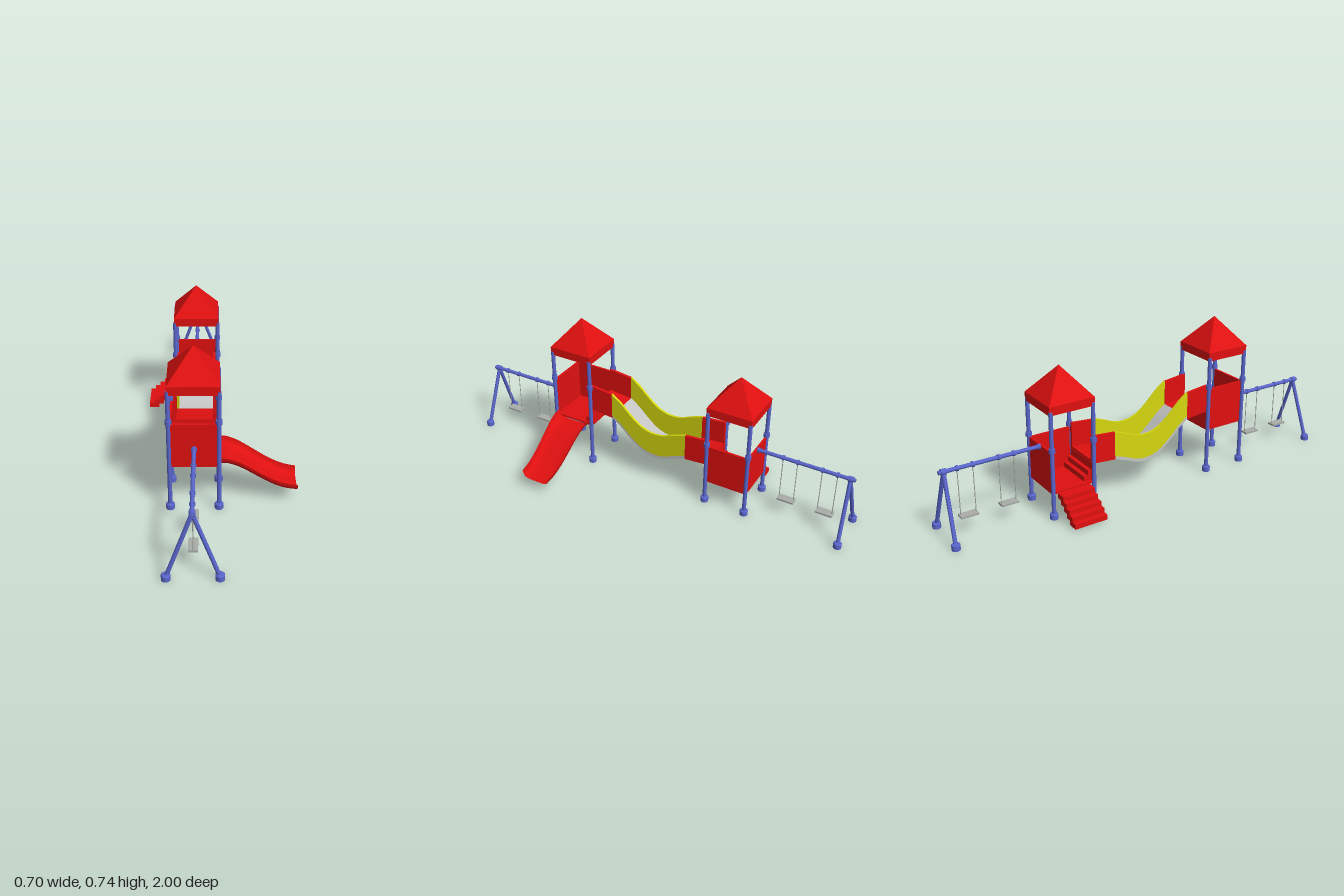
import * as THREE from 'three';

const mat = (name, color, side = THREE.FrontSide) => {
  const m = new THREE.MeshStandardMaterial({ color, side });
  m.name = name;
  return m;
};

export function createModel() {
  const red = mat('red panels', 0xe01010, THREE.DoubleSide);
  const blue = mat('blue steel', 0x5a66cc);
  const yellow = mat('yellow sides', 0xd6d810);
  const grey = mat('light grey deck', 0xc4c4c4);
  const seatGrey = mat('swing grey', 0xa9ada7);

  const model = new THREE.Group();
  model.name = 'playground';
  const CX = -0.1, R = 0.106, TZ = 0.421;

  const add = (parent, name, geo, material, x = 0, y = 0, z = 0) => {
    const m = new THREE.Mesh(geo, material);
    m.name = name;
    m.position.set(x, y, z);
    parent.add(m);
    return m;
  };
  // box given by its min and max corners
  const box = (parent, name, material, x0, x1, y0, y1, z0, z1) =>
    add(parent, name, new THREE.BoxGeometry(x1 - x0, y1 - y0, Math.abs(z1 - z0)), material,
      (x0 + x1) / 2, (y0 + y1) / 2, (z0 + z1) / 2);
  // round bar between two points
  const bar = (parent, name, material, a, b, r, sides = 14) => {
    const p = new THREE.Vector3(...a), q = new THREE.Vector3(...b);
    const d = q.clone().sub(p);
    const m = add(parent, name, new THREE.CylinderGeometry(r, r, d.length(), sides), material);
    m.position.copy(p).add(q).multiplyScalar(0.5);
    m.quaternion.setFromUnitVectors(new THREE.Vector3(0, 1, 0), d.normalize());
    return m;
  };
  const foot = (parent, x, z) => {
    add(parent, 'foot', new THREE.CylinderGeometry(0.019, 0.019, 0.023, 16), blue, x, 0.0115, z);
    add(parent, 'footBevel', new THREE.CylinderGeometry(0.015, 0.019, 0.005, 16), blue, x, 0.0255, z);
  };
  // side profile of [z, y] points, extruded across x
  const profile = (parent, name, material, points, x0, x1) => {
    const shape = new THREE.Shape(points.map(([z, y]) => new THREE.Vector2(z, y)));
    const geo = new THREE.ExtrudeGeometry(shape, { depth: x1 - x0, bevelEnabled: false });
    geo.rotateY(-Math.PI / 2);
    return add(parent, name, geo, material, x1);
  };

  // hollow hipped roof with a thick square rim
  function roof(parent, y, z) {
    const h = 0.111, i = 0.097;
    const square = (s) => [[-s, -s], [s, -s], [s, s], [-s, s]].map(([a, b]) => new THREE.Vector2(a, b));
    const rim = new THREE.Shape(square(h));
    rim.holes.push(new THREE.Path(square(i)));
    const geo = new THREE.ExtrudeGeometry(rim, { depth: 0.04, bevelEnabled: false }).rotateX(-Math.PI / 2);
    add(parent, 'roofRim', geo, red, CX, y, z);
    const cone = new THREE.ConeGeometry(h * Math.SQRT2, 0.135, 4, 1, true).rotateY(Math.PI / 4).toNonIndexed();
    cone.computeVertexNormals();
    add(parent, 'roof', cone, red, CX, y + 0.04 + 0.0675, z);
  }

  // tower: s = which end in z, open = side of the entrance in x
  function tower(name, s, open, floorY, wallTop, roofY) {
    const g = new THREE.Group();
    g.name = name;
    model.add(g);
    const z = s * TZ;
    for (const sx of [-1, 1]) for (const sz of [-1, 1]) {
      const px = CX + sx * R, pz = z + sz * 0.103;
      add(g, 'post', new THREE.CylinderGeometry(0.0095, 0.0095, roofY + 0.016, 16), blue, px, (roofY + 0.016) / 2, pz);
      add(g, 'collar', new THREE.CylinderGeometry(0.0145, 0.0145, 0.02, 16), blue, px, wallTop + 0.011, pz);
      foot(g, px, pz);
    }
    box(g, 'floor', red, CX - 0.103, CX + 0.103, floorY, floorY + 0.01, z - 0.1, z + 0.1);
    box(g, 'endWall', red, CX - 0.098, CX + 0.098, floorY, wallTop, z + s * 0.096, z + s * 0.106);
    const wx = CX - open * 0.1;
    box(g, 'sideWall', red, wx - 0.005, wx + 0.005, floorY, wallTop, z - 0.096, z + 0.096);
    // riser and inner steps up to the bridge
    const inner = z - s * 0.103;
    box(g, 'riser', red, CX - 0.096, CX + 0.096, floorY, floorY + 0.095, inner - 0.004, inner + 0.004);
    for (const [run, top] of [[0.042, 0.035], [0.022, 0.06]])
      box(g, 'innerStep', red, CX - 0.09, CX + 0.09, floorY + 0.005, floorY + top, inner, inner + s * run);
    roof(g, roofY, z);
  }
  tower('tallTower', 1, 1, 0.215, 0.425, 0.565);
  tower('lowTower', -1, -1, 0.115, 0.315, 0.487);

  // entrance stairs
  const stairs = new THREE.Group();
  stairs.name = 'stairs';
  model.add(stairs);
  for (let i = 0; i < 5; i++) {
    const x = -0.35 + i * 0.0252, y = 0.006 + i * 0.0215;
    box(stairs, 'step', red, x, x + 0.049, y, y + 0.024, -0.5, -0.34);
  }

  // bridge: red end troughs and a wavy middle
  const bridge = new THREE.Group();
  bridge.name = 'bridge';
  model.add(bridge);
  const x0 = CX - 0.096, x1 = CX + 0.096;
  const band = (curve, lo, hi) => [
    ...curve.map(([z, y]) => [z, y + lo]),
    ...curve.map(([z, y]) => [z, y + hi]).reverse(),
  ];
  const ends = [[[0.32, 0.31], [0.2, 0.296]], [[-0.2, 0.195], [-0.32, 0.205]]];
  for (const line of ends) {
    profile(bridge, 'troughFloor', red, band(line, 0, 0.015), x0, x1);
    profile(bridge, 'troughSide', red, band(line, 0, 0.132), x0, x0 + 0.014);
    profile(bridge, 'troughSide', red, band(line, 0, 0.132), x1 - 0.014, x1);
  }
  const wave = new THREE.CatmullRomCurve3([
    [0.2, 0.296], [0.15, 0.258], [0.1, 0.21], [0.05, 0.17], [0, 0.149],
    [-0.04, 0.145], [-0.08, 0.15], [-0.14, 0.174], [-0.2, 0.195],
  ].map(([z, y]) => new THREE.Vector3(0, y, z))).getPoints(40).map((p) => [p.z, p.y]);
  profile(bridge, 'waveDeck', grey, band(wave, 0, 0.016), x0, x1);
  profile(bridge, 'waveSide', yellow, band(wave, 0.016, 0.134), x0, x0 + 0.012);
  profile(bridge, 'waveSide', yellow, band(wave, 0.016, 0.134), x1 - 0.012, x1);

  // slide: a trough section swept along a curve, narrowing downwards
  const path = new THREE.CatmullRomCurve3([
    [0, 0.21], [0.04, 0.207], [0.08, 0.193], [0.12, 0.17], [0.17, 0.137],
    [0.223, 0.103], [0.27, 0.079], [0.31, 0.066], [0.35, 0.059],
  ].map(([x, y]) => new THREE.Vector3(x, y, 0)));
  const section = new THREE.CatmullRomCurve3([
    [-1, 1], [-0.95, 0.55], [-0.82, 0.18], [-0.5, 0.02], [0, 0],
    [0.5, 0.02], [0.82, 0.18], [0.95, 0.55], [1, 1],
  ].map(([z, y]) => new THREE.Vector3(0, y, z)));
  const NU = 32, NV = 20;
  const slideGeo = new THREE.PlaneGeometry(1, 1, NU, NV);
  const pos = slideGeo.attributes.position;
  for (let j = 0; j <= NV; j++) for (let i = 0; i <= NU; i++) {
    const t = i / NU, p = path.getPoint(t), c = section.getPoint(1 - j / NV);
    const half = 0.094 - 0.019 * t;
    pos.setXYZ(j * (NU + 1) + i, p.x, p.y + c.y * 0.039, 0.421 + c.z * half * -1);
  }
  slideGeo.computeVertexNormals();
  add(model, 'slide', slideGeo, red);

  // swing sets at both ends
  for (const s of [1, -1]) {
    const g = new THREE.Group();
    g.name = s > 0 ? 'frontSwings' : 'backSwings';
    model.add(g);
    const Y = 0.307;
    const ring = (z, r, len) => bar(g, 'beamCollar', blue, [CX, Y, s * (z - len / 2)], [CX, Y, s * (z + len / 2)], r);
    bar(g, 'beam', blue, [CX, Y, s * 0.52], [CX, Y, s * 0.99], 0.009);
    ring(0.968, 0.0135, 0.024);
    ring(0.533, 0.0125, 0.012);
    for (const sx of [-1, 1]) {
      bar(g, 'leg', blue, [CX, Y, s * 0.967], [CX + sx * 0.105, 0.015, s * 0.981], 0.009);
      foot(g, CX + sx * R, s * 0.981);
    }
    for (const z of [0.687, 0.874]) {
      box(g, 'swingSeat', seatGrey, CX - 0.02, CX + 0.02, 0.077, 0.086, s * z - 0.04, s * z + 0.04);
      for (const d of [-0.035, 0.035]) {
        ring(z + d, 0.0125, 0.01);
        bar(g, 'swingRope', seatGrey, [CX, 0.08, s * (z + d)], [CX, Y, s * (z + d)], 0.002, 6);
      }
    }
  }
  return model;
}
